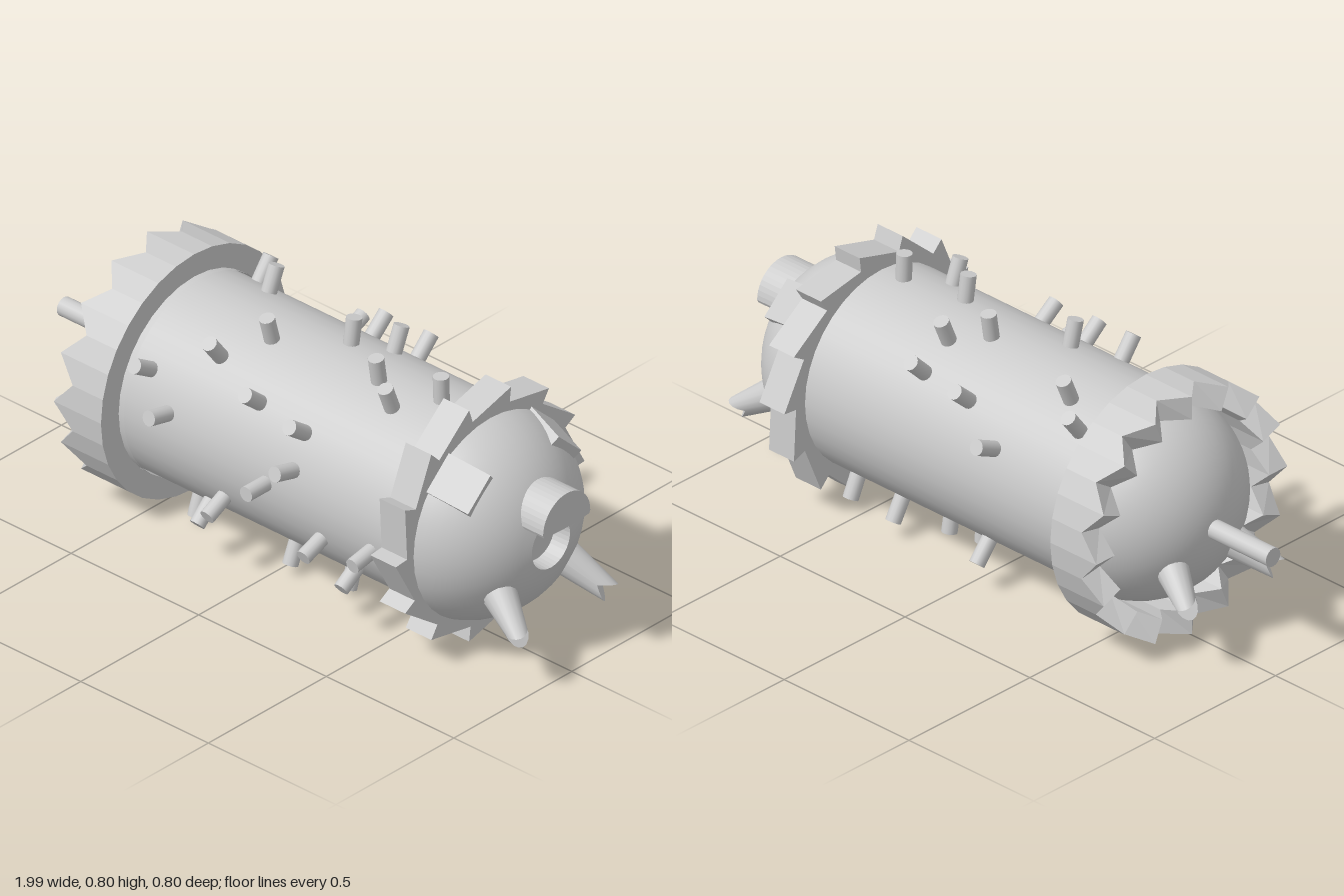
import * as THREE from 'three';

const AXIS_Y = 0.4;
const UP = new THREE.Vector3(0, 1, 0);

export function createModel() {
  const root = new THREE.Group();
  const model = new THREE.Group();
  model.position.y = AXIS_Y; // the long axis runs along x
  root.add(model);
  const smooth = new THREE.MeshStandardMaterial({ color: 0xcccccc, side: THREE.DoubleSide });
  const faceted = new THREE.MeshStandardMaterial({ color: 0xcccccc, side: THREE.DoubleSide, flatShading: true });

  const add = (name, geometry, material = smooth) => {
    const mesh = new THREE.Mesh(geometry, material);
    mesh.name = name;
    model.add(mesh);
    return mesh;
  };
  // surface of revolution about x from [x, radius] points
  const turned = (name, points, material) =>
    add(name, new THREE.LatheGeometry(points.map(([x, r]) => new THREE.Vector2(r, x)), 36)
      .rotateZ(-Math.PI / 2), material);
  // stand a geometry of height |b - a| between two points
  const between = (name, a, b, makeGeometry) => {
    const from = new THREE.Vector3(...a), to = new THREE.Vector3(...b);
    const dir = to.clone().sub(from);
    const mesh = add(name, makeGeometry(dir.length()));
    mesh.position.copy(from).addScaledVector(dir, 0.5);
    mesh.quaternion.setFromUnitVectors(UP, dir.normalize());
    return mesh;
  };

  // drum and domed ends
  turned('body', [[-0.5, 0.315], [0.62, 0.315]]);
  const rear = [], front = [];
  for (let i = 0; i <= 12; i++) {
    const t = (i / 12) * Math.PI / 2;
    rear.push([-0.46 - 0.31 * Math.cos(t), 0.32 * Math.sin(t)]);
    const u = t * 0.845;
    front.push([0.6 + 0.328 * Math.sin(u), 0.335 * Math.cos(u)]);
  }
  turned('rearDome', rear);
  turned('frontDome', front);

  // mouth recess at the tip of the front dome
  const rim = front[12];
  turned('mouthRecess', [rim, [0.86, rim[1] * 0.95], [0.86, 0]], faceted);

  // rear collar with a zigzag edge
  add('rearCollar', collarGeometry(0.395, 0.32, 16), faceted);

  // ratchet ring behind the front dome
  const saw = new THREE.Shape();
  const teeth = 14;
  for (let i = 0; i < teeth; i++) {
    const a = (i / teeth) * Math.PI * 2, b = ((i + 0.97) / teeth) * Math.PI * 2;
    if (i) saw.lineTo(0.4 * Math.cos(a), 0.4 * Math.sin(a));
    else saw.moveTo(0.4, 0);
    saw.lineTo(0.352 * Math.cos(b), 0.352 * Math.sin(b));
  }
  saw.closePath();
  saw.holes.push(new THREE.Path().absarc(0, 0, 0.3, 0, Math.PI * 2, true));
  const ring = add('ratchetRing',
    new THREE.ExtrudeGeometry(saw, { depth: 0.1, bevelEnabled: false, curveSegments: 12 }), faceted);
  ring.rotation.y = Math.PI / 2;
  ring.position.x = 0.58;

  // snout: a half disc with a hollowed underside
  const half = new THREE.Shape();
  half.moveTo(0.1, 0.09);
  half.absarc(0, 0.095, 0.1, 0, Math.PI, false);
  half.lineTo(-0.095, 0.085);
  half.quadraticCurveTo(0, 0.075, 0.095, 0.085);
  const snout = add('snout',
    new THREE.ExtrudeGeometry(half, { depth: 0.13, bevelEnabled: false, curveSegments: 10 }), faceted);
  snout.rotation.y = Math.PI / 2;
  snout.position.x = 0.85;

  // tail rod
  between('tail', [-0.72, 0, -0.01], [-1, 0, -0.01], (h) => new THREE.CylinderGeometry(0.03, 0.03, h, 16));

  for (const side of [1, -1]) {
    // brow plates let into the front dome
    const brow = new THREE.Group();
    brow.name = 'brow';
    brow.rotation.x = side * Math.PI / 4.2;
    const plate = new THREE.Mesh(new THREE.BoxGeometry(0.2, 0.035, 0.13), faceted);
    plate.position.set(0.715, 0.298, 0);
    plate.rotation.z = -0.32;
    plate.name = 'browPlate';
    brow.add(plate);
    model.add(brow);
    // tapered feet with notched tips
    between('frontFoot', [0.82, -0.12, side * 0.13], [0.98, -0.225, side * 0.19], footGeometry);
    between('rearFoot', [-0.66, -0.09, side * 0.1], [-0.835, -0.185, side * 0.185], footGeometry);
  }

  // pegs: [x, degrees around the drum, 0 = front, 90 = top]
  const pegs = [
    [-0.4, 31], [-0.3, 13], [-0.2, 53], [-0.1, 75], [0, 40], [0.19, 36], [0.19, 15], [0.09, 0],
    [0.09, 99], [-0.3, 113], [0.19, 113], [0.19, 135], [0.29, 81], [0.4, 69], [0.5, 88],
    [-0.4, 127], [0, 138], [-0.15, 155], [-0.1, -26], [-0.2, -43], [0.29, -21], [0.5, -11],
    [0.4, -34], [-0.35, -70], [-0.25, -95], [-0.05, -130], [0.04, -67], [0.14, -95],
    [0.24, -72], [0.24, -100], [0.34, -120], [0.54, -115],
  ];
  for (const [x, degrees] of pegs) {
    const a = THREE.MathUtils.degToRad(degrees), s = Math.sin(a), c = Math.cos(a);
    between('peg', [x, 0.29 * s, 0.29 * c], [x, 0.397 * s, 0.397 * c],
      (h) => new THREE.CylinderGeometry(0.024, 0.024, h, 14));
  }
  return root;
}

// tapered cylinder whose tip is cut by a V notch
function footGeometry(h) {
  const r = 0.033;
  const g = new THREE.CylinderGeometry(r, 0.058, h, 16);
  const p = g.attributes.position;
  for (let i = 0; i < p.count; i++) {
    if (p.getY(i) > 0) p.setY(i, p.getY(i) - 0.045 * (1 - Math.abs(p.getX(i)) / r));
  }
  g.computeVertexNormals();
  return g;
}

// thick band along x, its rear edge alternating between tooth tips and gaps
function collarGeometry(outer, inner, teeth) {
  const n = teeth * 2, pos = [], index = [];
  for (let i = 0; i < n; i++) {
    const a = (i / n) * Math.PI * 2, c = Math.cos(a), s = Math.sin(a);
    const edge = i % 2 ? -0.598 : -0.665;
    for (const [x, r] of [[-0.48, outer], [edge, outer], [edge, inner], [-0.48, inner]]) {
      pos.push(x, r * s, r * c);
    }
  }
  for (let i = 0; i < n; i++) {
    for (let k = 0; k < 4; k++) {
      const a = i * 4 + k, b = i * 4 + (k + 1) % 4;
      const j = ((i + 1) % n) * 4, d = j + k, e = j + (k + 1) % 4;
      index.push(a, d, b, b, d, e);
    }
  }
  const g = new THREE.BufferGeometry();
  g.setAttribute('position', new THREE.Float32BufferAttribute(pos, 3));
  g.setIndex(index);
  g.computeVertexNormals();
  return g;
}
